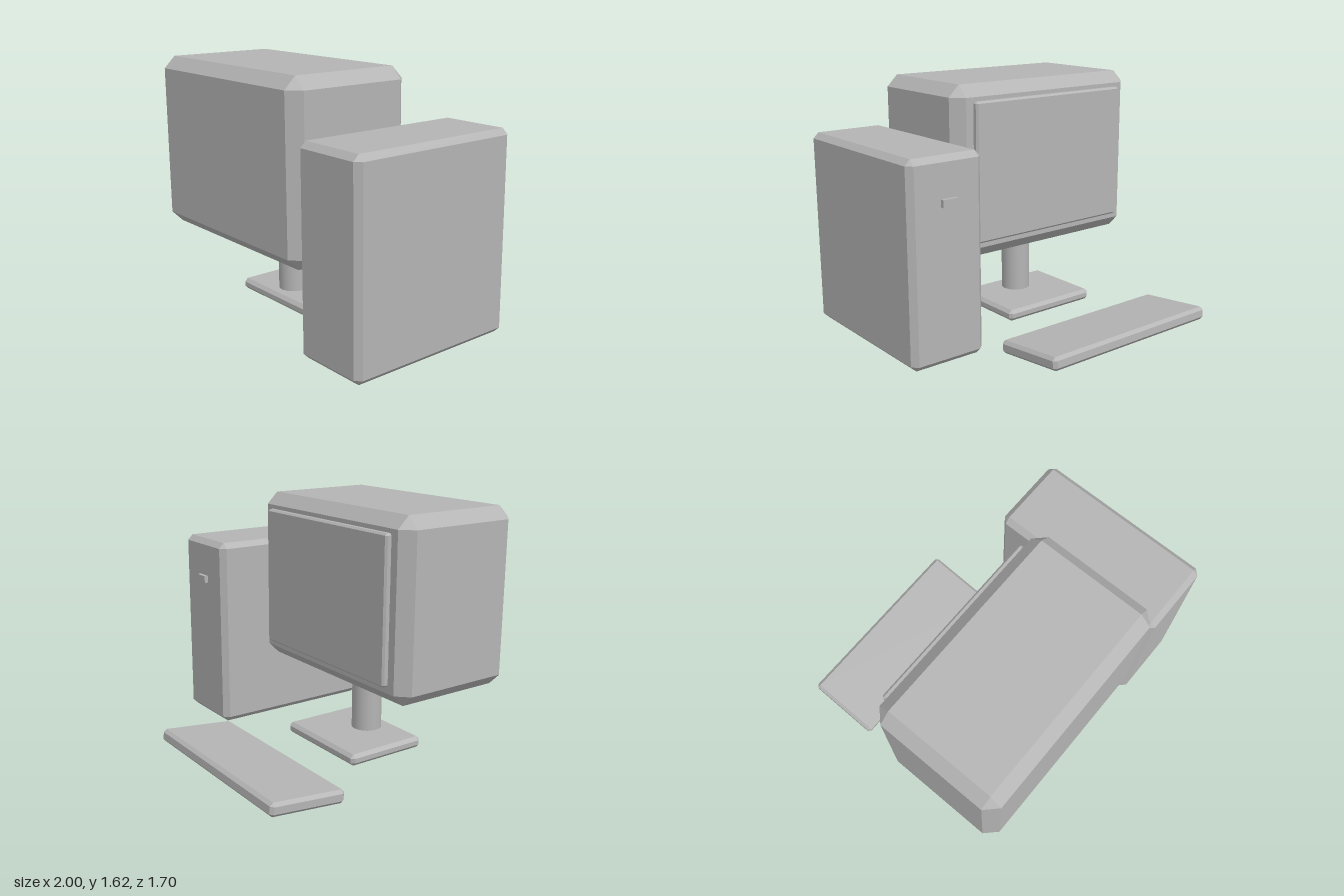
import * as THREE from 'three';
import { ConvexGeometry } from 'three/addons/geometries/ConvexGeometry.js';

const grey = new THREE.MeshStandardMaterial({ color: 0xb4b4b4 });
grey.name = 'plain grey';

// Box with every edge bevelled by c and a small triangle at each corner.
function bevelledBox(w, h, d, c) {
  const half = [w / 2, h / 2, d / 2];
  const points = [];
  for (const sx of [-1, 1]) for (const sy of [-1, 1]) for (const sz of [-1, 1]) {
    for (let axis = 0; axis < 3; axis++) {
      const [x, y, z] = half.map((v, i) => (i === axis ? v : v - c));
      points.push(new THREE.Vector3(sx * x, sy * y, sz * z));
    }
  }
  return new ConvexGeometry(points);
}

export function createModel() {
  const model = new THREE.Group();
  model.name = 'desktopComputer';

  const add = (name, geometry, x, y, z) => {
    const mesh = new THREE.Mesh(geometry, grey);
    mesh.name = name;
    mesh.position.set(x, y, z);
    model.add(mesh);
    return mesh;
  };

  // Block given by its lower and upper corners.
  const block = (name, [x0, y0, z0], [x1, y1, z1], bevel) => {
    const size = [x1 - x0, y1 - y0, z1 - z0];
    const geometry = bevel ? bevelledBox(...size, bevel) : new THREE.BoxGeometry(...size);
    return add(name, geometry, (x0 + x1) / 2, (y0 + y1) / 2, (z0 + z1) / 2);
  };

  // Monitor: deep housing, raised screen, neck and foot
  block('monitorHousing', [-1, 0.505, -0.012], [0.465, 1.618, 0.85], 0.075);
  block('screen', [-0.872, 0.62, -0.049], [0.337, 1.517, 0.02], 0.012);
  add('monitorNeck', new THREE.CylinderGeometry(0.098, 0.098, 0.46, 32), -0.267, 0.31, 0.33);
  block('monitorFoot', [-0.62, 0.034, -0.06], [0.085, 0.108, 0.5], 0.022);

  // Tower case with its power button
  block('towerCase', [0.49, 0.022, -0.314], [1, 1.285, 0.85], 0.036);
  block('powerButton', [0.69, 0.99, -0.34], [0.79, 1.037, -0.3]);

  // Keyboard, its far edge raised
  const keyboard = add('keyboard', bevelledBox(1.315, 0.085, 0.506, 0.02), -0.267, 0.07, -0.597);
  keyboard.rotation.x = 0.107;

  return model;
}
